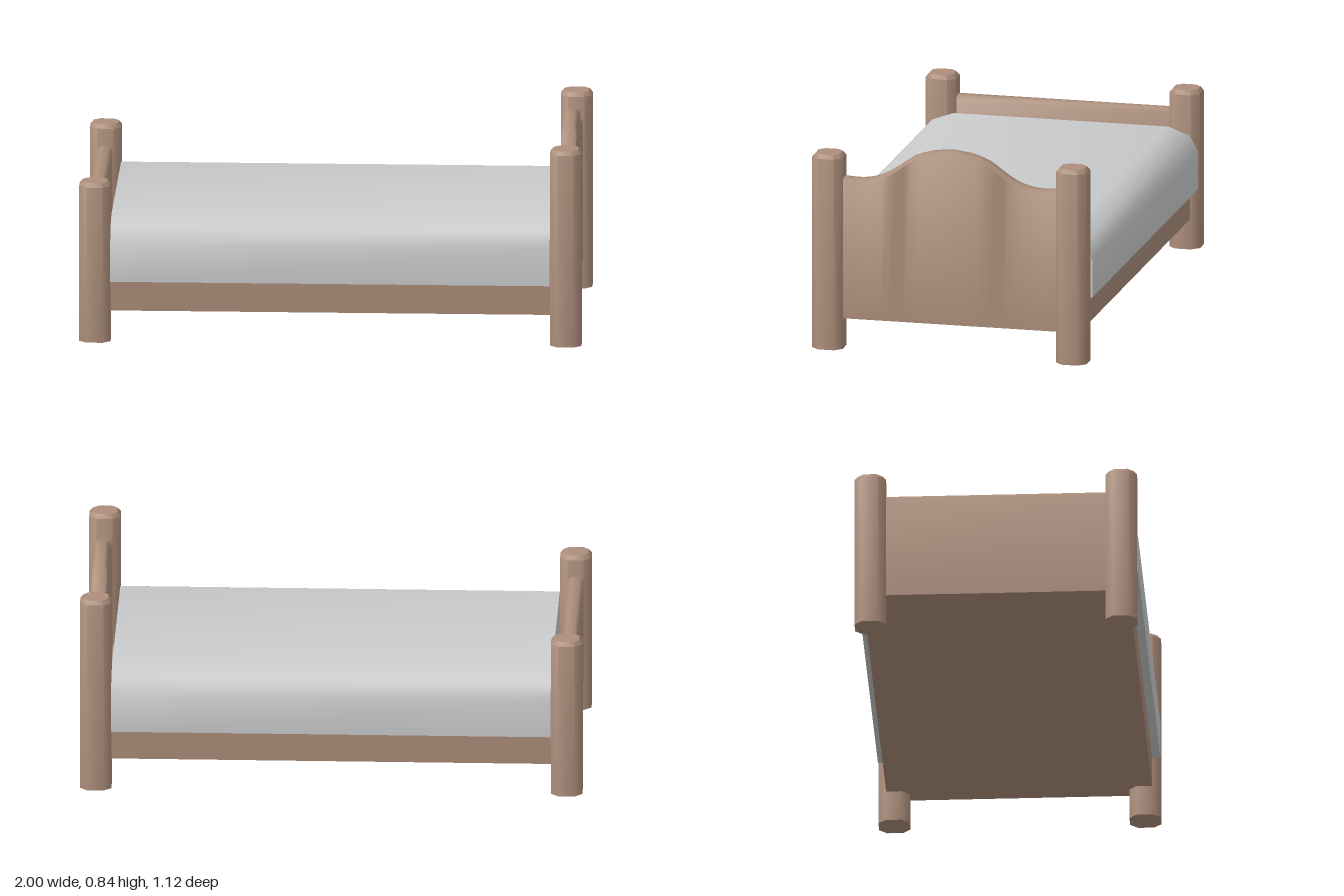
import * as THREE from 'three';
import { toCreasedNormals } from 'three/addons/utils/BufferGeometryUtils.js';

// Skins a row of equal-length convex rings (counter-clockwise about the travel direction) and caps both ends.
function loft(rings) {
  const n = rings[0].length;
  const index = [];
  for (let i = 0; i < rings.length - 1; i++) {
    for (let j = 0; j < n; j++) {
      const k = (j + 1) % n;
      const a = i * n + j, b = i * n + k, c = b + n, d = a + n;
      index.push(a, b, d, b, c, d);
    }
  }
  const last = (rings.length - 1) * n;
  for (let j = 1; j < n - 1; j++) {
    index.push(0, j + 1, j);
    index.push(last, last + j, last + j + 1);
  }
  const geometry = new THREE.BufferGeometry();
  geometry.setAttribute('position', new THREE.Float32BufferAttribute(rings.flat(2), 3));
  geometry.setIndex(index);
  return toCreasedNormals(geometry, 0.85);
}

// Square post with chamfered corners and a bevelled top
function postGeometry(height) {
  const ring = (y, inset) => {
    const h = 0.0625 - inset, c = 0.0325 - inset * 0.5;
    return [[c, h], [h, c], [h, -c], [c, -h], [-c, -h], [-h, -c], [-h, c], [-c, h]]
      .map(([x, z]) => [x, y, z]);
  };
  return loft([ring(0, 0), ring(height - 0.016, 0), ring(height, 0.013)]);
}

// Upright end panel whose top edge follows heightAt(z)
function panelGeometry(stations, heightAt) {
  const w = 0.03, b = 0.013, bottom = 0.125;
  return loft(stations.map((z) => {
    const h = heightAt(z);
    return [[-w, bottom], [w, bottom], [w, h - b], [w - b, h], [b - w, h], [-w, h - b]]
      .map(([x, y]) => [x, y, z]);
  }));
}

export function createModel() {
  const group = new THREE.Group();
  const wood = new THREE.MeshStandardMaterial({ color: 0xac8e7b });
  wood.name = 'wood';
  const fabric = new THREE.MeshStandardMaterial({ color: 0xcacbcc });
  fabric.name = 'grey fabric';

  const add = (name, geometry, material, x = 0, y = 0, z = 0) => {
    const mesh = new THREE.Mesh(geometry, material);
    mesh.name = name;
    mesh.position.set(x, y, z);
    group.add(mesh);
  };

  // Four corner posts, taller at the head
  const headPost = postGeometry(0.8), footPost = postGeometry(0.65);
  for (const z of [0.5, -0.5]) {
    add('headPost', headPost, wood, 0.9375, 0, z);
    add('footPost', footPost, wood, -0.9375, 0, z);
  }

  // Headboard with a crested top, mirrored about the middle
  const crest = new THREE.SplineCurve([
    [0, 0.836], [0.08, 0.826], [0.155, 0.8], [0.22, 0.754],
    [0.28, 0.719], [0.34, 0.702], [0.39, 0.699], [0.46, 0.704],
  ].map(([z, y]) => new THREE.Vector2(z, y)));
  const half = crest.getPoints(14);
  const profile = [
    ...half.slice(1).reverse().map((p) => [-p.x, p.y]),
    ...half.map((p) => [p.x, p.y]),
  ];
  const crestHeight = new Map(profile);
  add('headboard', panelGeometry(profile.map((p) => p[0]), (z) => crestHeight.get(z)), wood, 0.935);

  // Straight footboard
  add('footboard', panelGeometry([-0.46, 0.46], () => 0.5625), wood, -0.94);

  // Bed frame
  add('bedFrame', new THREE.BoxGeometry(1.84, 0.125, 1.06), wood, 0, 0.1875, 0);

  // Blanket-covered mattress with rounded long edges
  const side = [[0.25, 0.5625], [0.405, 0.5625], [0.468, 0.528], [0.5, 0.44]];
  const section = [...side.map(([y, z]) => [y, -z]), ...side.slice().reverse()];
  add('blanket', loft([-0.875, 0.875].map((x) => section.map(([y, z]) => [x, y, z]))), fabric);

  return group;
}
